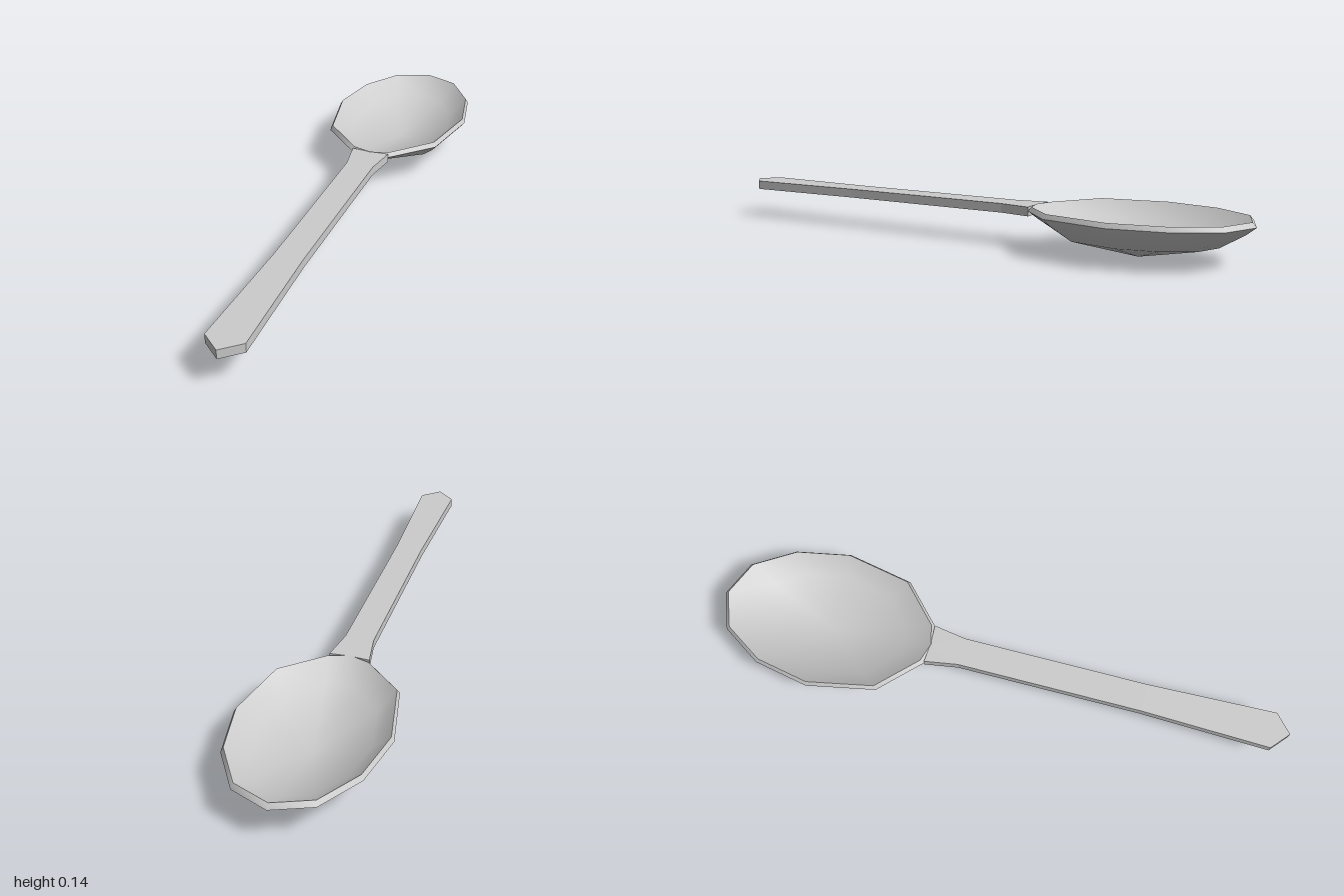
import * as THREE from 'three';
import { toCreasedNormals } from 'three/addons/utils/BufferGeometryUtils.js';

const CENTRE_Z = -0.62;

// Mirrors a half outline (x, z) running from tip to tip into a closed loop
function mirrorOutline(half) {
  const other = half.slice(1, -1).reverse().map(([x, z]) => [-x, z]);
  return [...half, ...other];
}

// Bowl: one outline scaled into rings, from the outer bottom over the rim to the inner bottom
function bowlGeometry() {
  const outline = mirrorOutline([
    [0, -1], [0.127, -0.95], [0.217, -0.81], [0.254, -0.62],
    [0.207, -0.385], [0.07, -0.255], [0, -0.235],
  ]);
  // scale, height, height at the neck
  const rings = [
    [0, 0, 0], [0.7, 0.055, 0.066], [0.92, 0.105, 0.105], [1, 0.129, 0.125],
    [0.965, 0.145, 0.139], [0.73, 0.09, 0.09], [0, 0.035, 0.035],
  ];
  const n = outline.length;
  const positions = [];
  const index = [];
  rings.forEach(([scale, y, neckY]) => {
    for (const [x, z] of outline) {
      positions.push(x * scale, z > -0.3 ? neckY : y, CENTRE_Z + (z - CENTRE_Z) * scale);
    }
  });
  for (let i = 0; i < rings.length - 1; i++) {
    for (let j = 0; j < n; j++) {
      const k = (j + 1) % n;
      const a = i * n + j, b = i * n + k, c = a + n, d = b + n;
      if (rings[i + 1][0] > 0) index.push(a, c, d);
      else index.push(a, c, b);
      if (rings[i][0] > 0 && rings[i + 1][0] > 0) index.push(a, d, b);
    }
  }
  const geometry = new THREE.BufferGeometry();
  geometry.setAttribute('position', new THREE.Float32BufferAttribute(positions, 3));
  geometry.setIndex(index);
  return toCreasedNormals(geometry, 0.6);
}

// Handle: flat bar flaring into the bowl and widening to a blunt point
function handleGeometry() {
  const outline = mirrorOutline([
    [0, -0.25], [0.068, -0.255], [0.049, -0.14], [0.049, 0.5], [0.063, 0.945], [0, 1],
  ]);
  const shape = new THREE.Shape(outline.map(([x, z]) => new THREE.Vector2(x, -z)));
  const geometry = new THREE.ExtrudeGeometry(shape, { depth: 0.031, bevelEnabled: false });
  geometry.rotateX(-Math.PI / 2);
  geometry.translate(0, 0.107, 0);
  return geometry;
}

export function createModel() {
  const model = new THREE.Group();
  model.name = 'spoon';
  const material = new THREE.MeshStandardMaterial({ color: 0xcccccc });
  const parts = { bowl: bowlGeometry(), handle: handleGeometry() };
  for (const [name, geometry] of Object.entries(parts)) {
    const mesh = new THREE.Mesh(geometry, material);
    mesh.name = name;
    model.add(mesh);
  }
  return model;
}
